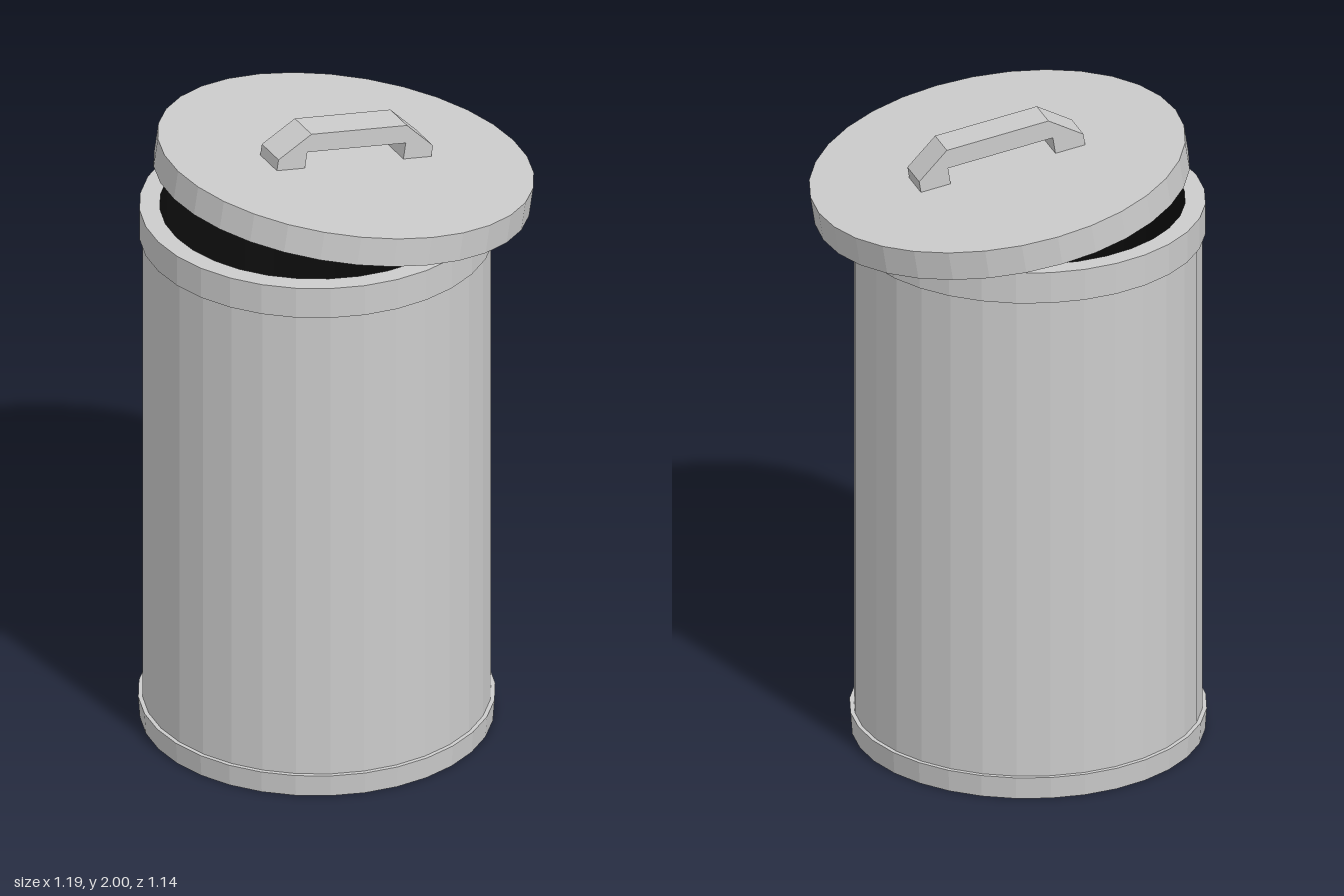
import * as THREE from 'three';

const SIDES = 32;

export function createModel() {
  const model = new THREE.Group();
  model.name = 'trashCan';
  const metal = new THREE.MeshStandardMaterial({ color: 0xcccccc, flatShading: true });
  const dark = new THREE.MeshStandardMaterial({ color: 0x0c0c0c, flatShading: true });

  const add = (parent, name, geometry, material = metal) => {
    const mesh = new THREE.Mesh(geometry, material);
    mesh.name = name;
    parent.add(mesh);
    return mesh;
  };
  // Faceted solid of revolution from [radius, height] pairs, listed bottom to top on the outside
  const turned = (profile) =>
    new THREE.LatheGeometry(profile.map(([r, y]) => new THREE.Vector2(r, y)), SIDES);

  // Can: wall, base band, top rim and dark hollow inside
  const can = new THREE.Group();
  can.name = 'can';
  can.position.x = -0.065;
  model.add(can);
  add(can, 'wall', turned([[0.522, 0.06], [0.522, 1.64]]));
  add(can, 'baseBand', turned([[0, 0], [0.53, 0], [0.535, 0.07], [0.522, 0.07]]));
  add(can, 'topRim', turned([[0.522, 1.63], [0.531, 1.63], [0.531, 1.73], [0.47, 1.73]]));
  add(can, 'lining', turned([[0.47, 1.73], [0.47, 0.05], [0, 0.05]]), dark);

  // Lid: hollow underneath, tipped down towards +x
  const lid = new THREE.Group();
  lid.name = 'lid';
  lid.position.set(0.0325, 1.8675, 0);
  lid.rotation.z = -0.154;
  model.add(lid);
  add(lid, 'lidShell', turned([
    [0, -0.04], [0.52, -0.04], [0.52, -0.092], [0.569, -0.092], [0.569, 0], [0, 0],
  ]));

  // Handle: chamfered bridge on the lid
  const outline = new THREE.Shape([
    [-0.262, -0.005], [-0.167, -0.005], [-0.167, 0.053], [0.167, 0.053], [0.167, -0.005],
    [0.262, -0.005], [0.262, 0.036], [0.162, 0.112], [-0.162, 0.112], [-0.262, 0.036],
  ].map(([x, y]) => new THREE.Vector2(x, y)));
  const handle = new THREE.ExtrudeGeometry(outline, { depth: 0.11, bevelEnabled: false });
  handle.translate(0, 0, -0.055);
  add(lid, 'handle', handle);

  return model;
}
